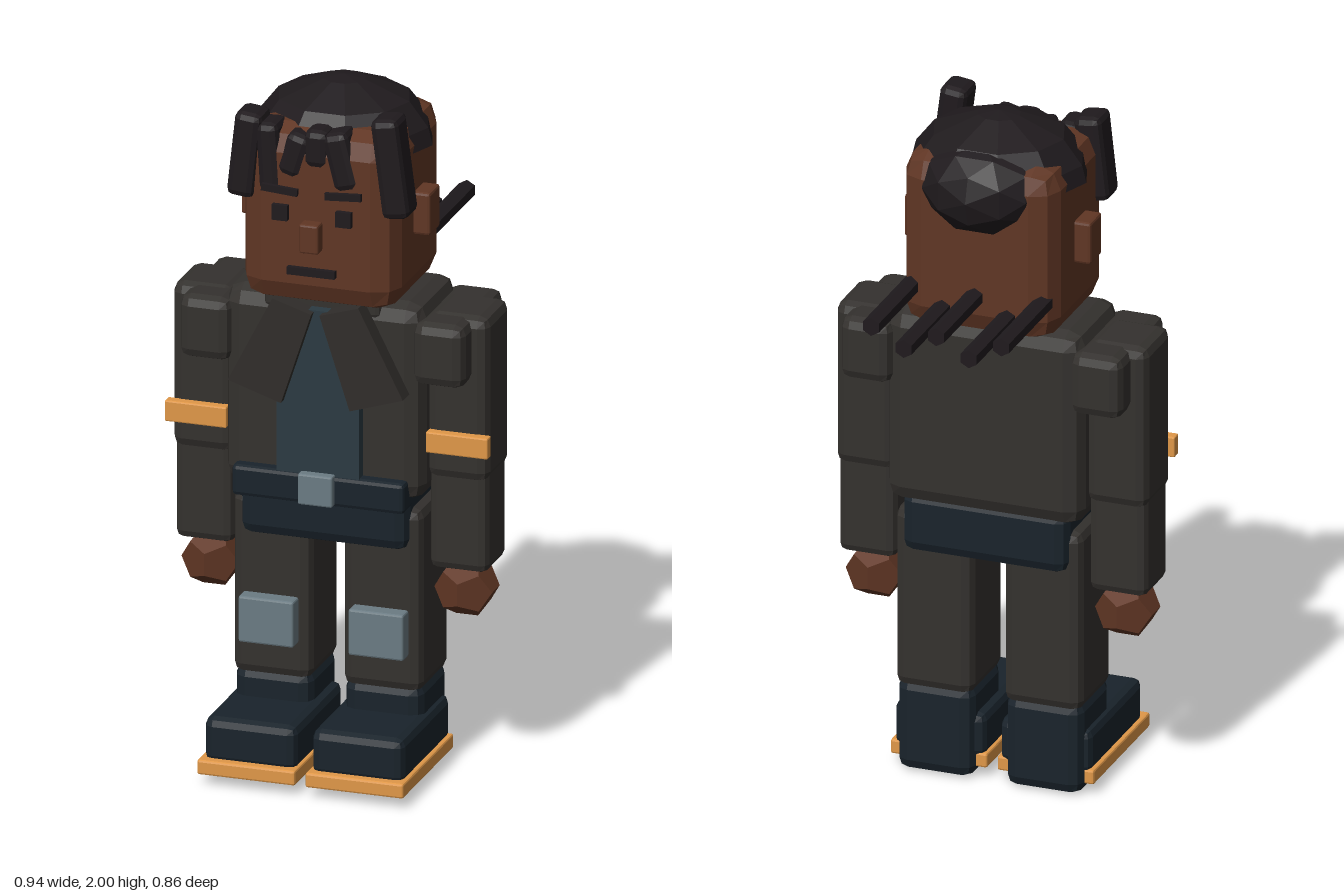
import * as THREE from 'three';
import { RoundedBoxGeometry } from 'three/addons/geometries/RoundedBoxGeometry.js';

const paint = (color) => new THREE.MeshStandardMaterial({ color, flatShading: true });
const skin = paint(0x603624), hair = paint(0x1f1a1d), jacket = paint(0x34312e), navy = paint(0x19232b);
const shirt = paint(0x2b3a42), orange = paint(0xe09848), steel = paint(0x6b7b83), collar = paint(0x302d2a);

export function createModel() {
  const model = new THREE.Group();

  const add = (name, geometry, material) => {
    const mesh = new THREE.Mesh(geometry, material);
    mesh.name = name;
    model.add(mesh);
    return mesh;
  };
  // Box given by its limits on each axis, chamfered by r (0 = sharp)
  const box = (name, material, [x0, x1], [y0, y1], [z0, z1], r = 0, tilt = 0) => {
    const w = x1 - x0, h = y1 - y0, d = z1 - z0;
    const geo = r ? new RoundedBoxGeometry(w, h, d, 1, r) : new THREE.BoxGeometry(w, h, d);
    const mesh = add(name, geo, material);
    mesh.position.set((x0 + x1) / 2, (y0 + y1) / 2, (z0 + z1) / 2);
    mesh.rotation.z = tilt;
    return mesh;
  };
  // The same box on both sides; x limits are given for the left (+x) side
  const pair = (name, material, [x0, x1], y, z, r = 0, tilt = 0) => {
    box(name + 'Left', material, [x0, x1], y, z, r, tilt);
    box(name + 'Right', material, [-x1, -x0], y, z, r, -tilt);
  };

  // Legs and boots
  pair('leg', jacket, [0.045, 0.275], [0.26, 0.8], [-0.045, 0.205], 0.03);
  pair('bootShaft', navy, [0.047, 0.273], [0.005, 0.285], [-0.04, 0.2], 0.035);
  pair('bootToe', navy, [0.022, 0.29], [0.06, 0.195], [-0.01, 0.4], 0.025);
  pair('sole', orange, [0.015, 0.3], [0.035, 0.078], [-0.005, 0.425], 0.006);
  pair('kneePad', steel, [0.08, 0.24], [0.37, 0.505], [0.19, 0.25], 0.006);

  // Hips, torso and belt
  box('hips', navy, [-0.245, 0.245], [0.68, 0.87], [-0.075, 0.235], 0.035);
  box('torso', jacket, [-0.29, 0.29], [0.83, 1.41], [-0.085, 0.24], 0.05);
  box('neck', jacket, [-0.17, 0.17], [1.36, 1.42], [-0.06, 0.24], 0.015);
  box('shirtFront', shirt, [-0.12, 0.12], [0.82, 1.38], [0.22, 0.272]);
  box('belt', navy, [-0.25, 0.25], [0.81, 0.9], [0.19, 0.278], 0.012);
  box('buckle', steel, [-0.05, 0.05], [0.815, 0.905], [0.26, 0.3], 0.005);

  // Lapels
  for (const s of [1, -1]) {
    const pts = [[0.012, 1.375], [0.1, 1.105], [0.255, 1.155], [0.125, 1.41]];
    const shape = new THREE.Shape(pts.map(([x, y]) => new THREE.Vector2(s * x, y)));
    const geo = new THREE.ExtrudeGeometry(shape, { depth: 0.055, bevelEnabled: false });
    add(s > 0 ? 'lapelLeft' : 'lapelRight', geo, collar).position.z = 0.24;
  }

  // Arms
  pair('upperArm', jacket, [0.28, 0.46], [0.89, 1.375], [-0.022, 0.178], 0.03);
  pair('forearm', jacket, [0.285, 0.455], [0.62, 0.94], [-0.01, 0.168], 0.025);
  pair('shoulderPad', jacket, [0.265, 0.415], [1.185, 1.37], [-0.105, 0.255], 0.03);
  pair('armBand', orange, [0.29, 0.47], [0.975, 1.036], [0.172, 0.205], 0.004);
  for (const s of [1, -1]) {
    const hand = add(s > 0 ? 'handLeft' : 'handRight', new THREE.DodecahedronGeometry(0.09), skin);
    hand.position.set(s * 0.368, 0.55, 0.08);
  }

  // Head and face
  box('head', skin, [-0.228, 0.228], [1.39, 1.91], [-0.138, 0.292], 0.07);
  pair('ear', skin, [0.2, 0.275], [1.58, 1.705], [0.035, 0.125], 0.008);
  pair('eye', hair, [0.07, 0.115], [1.655, 1.7], [0.315, 0.33]);
  pair('brow', hair, [0.04, 0.145], [1.735, 1.755], [0.32, 0.333], 0, 0.07);
  box('nose', skin, [-0.028, 0.028], [1.575, 1.66], [0.31, 0.355], 0.006);
  box('mouth', hair, [-0.07, 0.07], [1.502, 1.524], [0.32, 0.335]);

  // Hair cap and the rounded mass behind it
  const profile = [[0, 1.77], [0.13, 1.77], [0.25, 1.82], [0.238, 1.87], [0.185, 1.94], [0.06, 1.99], [0, 2]]
    .map(([x, y]) => new THREE.Vector2(x, y));
  const cap = add('hairCap', new THREE.LatheGeometry(profile, 10, Math.PI / 10), hair);
  cap.scale.set(1.03, 1, 0.93);
  cap.position.z = 0.05;
  const back = add('hairBack', new THREE.IcosahedronGeometry(1, 1), hair);
  back.scale.set(0.18, 0.135, 0.14);
  back.position.set(0, 1.82, -0.07);

  // Fringe locks: centre x, centre y, width, height, tilt
  const locks = [
    [-0.21, 1.818, 0.08, 0.25, -0.11], [-0.14, 1.82, 0.065, 0.2, 0.06], [-0.065, 1.835, 0.07, 0.13, -0.3],
    [0, 1.86, 0.07, 0.11, 0], [0.07, 1.83, 0.075, 0.17, 0.25], [0.213, 1.825, 0.08, 0.29, 0.13],
  ];
  for (const [x, y, w, h, tilt] of locks) {
    box('fringeLock', hair, [x - w / 2, x + w / 2], [y - h / 2, y + h / 2], [0.195, 0.298], 0.02, tilt);
  }

  // Straight strands reaching out behind the head
  for (let i = -2; i <= 2; i++) {
    const strand = add('hairStrand', new THREE.CylinderGeometry(0.027, 0.027, 0.365, 6), hair);
    strand.rotation.set(Math.PI / 2, 0, 0);
    strand.position.set(i * 0.096, i % 2 ? 1.462 : 1.513, -0.2475);
  }

  return model;
}
